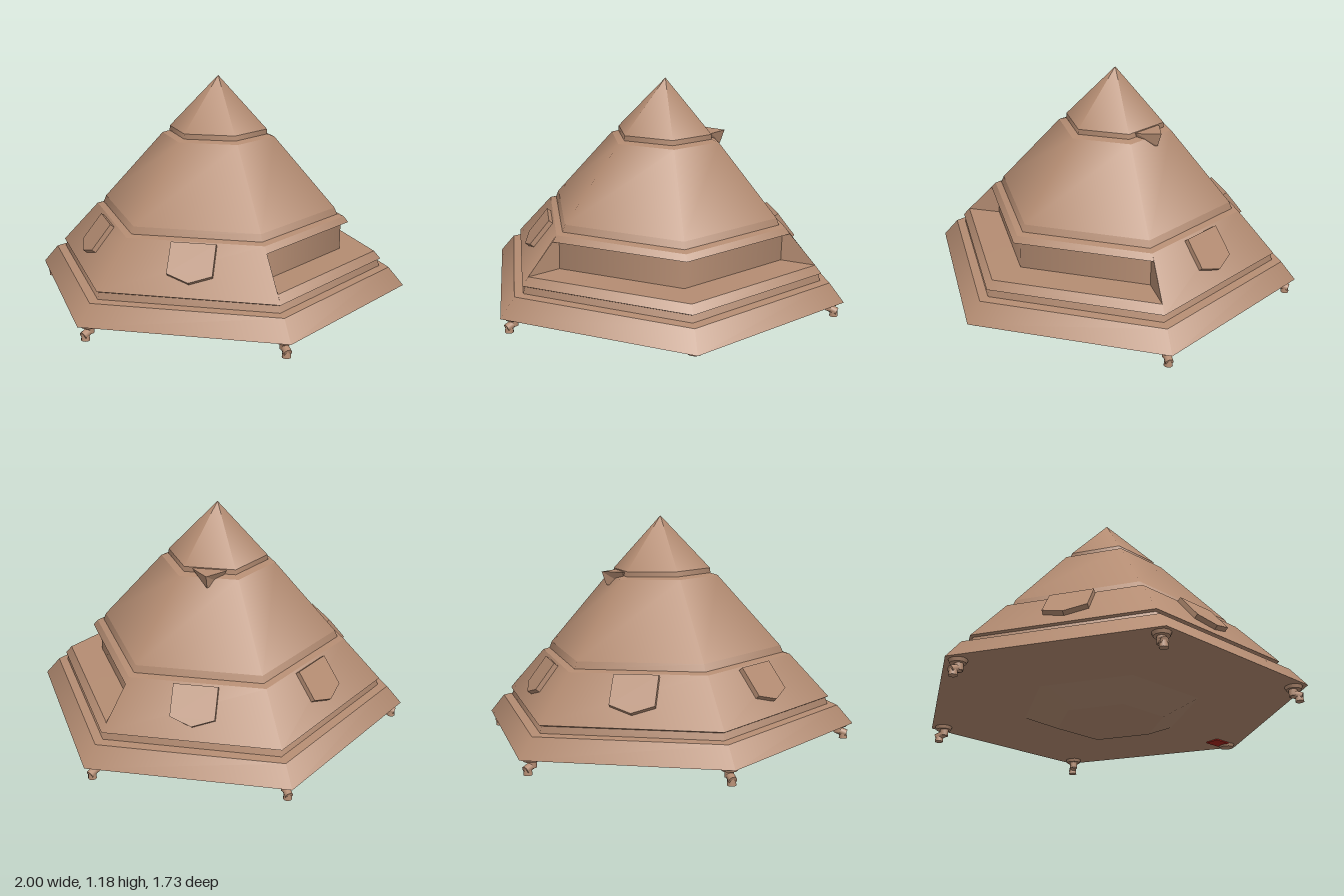
import * as THREE from 'three';

const hullMat = new THREE.MeshStandardMaterial({ color: 0xb48c72, side: THREE.DoubleSide });
hullMat.name = 'tan hull';
const redMat = new THREE.MeshStandardMaterial({ color: 0xa8241c });
redMat.name = 'red hatch';

const SIXTH = Math.PI / 3;
const SLOPE = Math.atan2(0.173, 0.22); // lean of the belt faces

function add(parent, name, geometry, x = 0, y = 0, z = 0, material = hullMat) {
  const mesh = new THREE.Mesh(geometry, material);
  mesh.name = name;
  mesh.position.set(x, y, z);
  parent.add(mesh);
  return mesh;
}

// Stacked six-sided bands from a [radius, height] profile; corners lie on the x axis
function bands(parent, name, profile, start = Math.PI / 2, sides = 6) {
  const group = new THREE.Group();
  group.name = name;
  parent.add(group);
  for (let i = 0; i + 1 < profile.length; i++) {
    const [r0, y0] = profile[i], [r1, y1] = profile[i + 1];
    const geo = new THREE.CylinderGeometry(r1, r0, y1 - y0, sides, 1, true, start, sides * SIXTH);
    add(group, name + 'Band', geo, 0, (y0 + y1) / 2, 0);
  }
}

// Five-sided raised panel, pointing down the sloped belt
function windowPanel() {
  const s = new THREE.Shape();
  s.moveTo(-0.11, 0.1);
  s.lineTo(0.11, 0.1);
  s.lineTo(0.11, -0.06);
  s.lineTo(0, -0.1);
  s.lineTo(-0.11, -0.06);
  const geo = new THREE.ExtrudeGeometry(s, { depth: 0.045, bevelEnabled: false });
  geo.translate(0, 0, -0.02);
  geo.rotateX(-SLOPE);
  geo.translate(0, 0.37, 0.655);
  return geo;
}

// Landing leg: collar, strut, outward knee and foot, built along +x
function landingLeg(parent, angle) {
  const leg = new THREE.Group();
  leg.name = 'landingLeg';
  leg.rotation.y = angle;
  parent.add(leg);
  add(leg, 'legCollar', new THREE.CylinderGeometry(0.045, 0.038, 0.018, 12), 0.93, 0.092, 0);
  add(leg, 'legStrut', new THREE.CylinderGeometry(0.022, 0.022, 0.04, 10), 0.925, 0.07, 0);
  const knee = add(leg, 'legKnee', new THREE.CylinderGeometry(0.02, 0.02, 0.055, 10), 0.942, 0.055, 0);
  knee.rotation.z = 1.2;
  add(leg, 'legFoot', new THREE.CylinderGeometry(0.018, 0.022, 0.035, 10), 0.952, 0.038, 0);
}

export function createModel() {
  const model = new THREE.Group();
  model.name = 'pyramidShip';
  const ship = new THREE.Group();
  ship.name = 'ship';
  ship.rotation.x = -0.02;
  model.add(ship);

  // Belly, flange and base of the belt
  bands(ship, 'base', [
    [0, 0.018], [0.28, 0.02], [0.46, 0.098], [1, 0.1],
    [0.92, 0.195], [0.87, 0.2], [0.86, 0.233], [0.875, 0.24],
  ]);

  // Full belt on four sides, recessed bay on the two sides around +x
  bands(ship, 'belt', [[0.875, 0.24], [0.675, 0.46]], Math.PI / 2 + SIXTH, 4);
  bands(ship, 'bay', [
    [0.875, 0.24], [0.84, 0.28], [0.66, 0.282], [0.66, 0.428], [0.7, 0.43], [0.675, 0.46],
  ], Math.PI / 2 - SIXTH, 2);
  const end = new THREE.Shape([[0.84, 0.28], [0.7, 0.43], [0.66, 0.43], [0.66, 0.28]]
    .map(([x, y]) => new THREE.Vector2(x, y)));
  for (const side of [-1, 1]) {
    add(ship, 'bayEndWall', new THREE.ShapeGeometry(end)).rotation.y = side * SIXTH;
  }

  // Upper hull and nose cone
  bands(ship, 'upperHull', [[0.675, 0.46], [0.64, 0.47], [0.625, 0.505], [0.3, 0.872]]);
  bands(ship, 'noseCone', [[0.3, 0.872], [0.262, 0.884], [0.26, 0.91], [0, 1.185]]);

  // Window panels on the front, back and two -x sides
  const panel = windowPanel();
  for (const k of [0, 3, -1, -2]) add(ship, 'windowPanel', panel).rotation.y = k * SIXTH;

  // Small pointed ledge at the back, tapering downward
  const ledge = new THREE.Shape([[-0.085, 0.18], [0.085, 0.18], [0.085, 0.235], [0, 0.325], [-0.085, 0.235]]
    .map(([x, y]) => new THREE.Vector2(x, y)));
  const ledgeGeo = new THREE.ExtrudeGeometry(ledge, { depth: 0.07, bevelEnabled: false });
  const p = ledgeGeo.attributes.position;
  for (let i = 0; i < p.count; i++) {
    if (p.getZ(i) < 0.01) p.setXY(i, p.getX(i) * 0.6, p.getY(i) * 0.93);
  }
  ledgeGeo.rotateX(-Math.PI / 2);
  ledgeGeo.computeVertexNormals();
  add(ship, 'rearLedge', ledgeGeo, 0, 0.835, 0);

  // Five landing legs; the +x one is stowed beside a red hatch
  for (let k = 1; k < 6; k++) landingLeg(ship, k * SIXTH);
  add(ship, 'stowedLeg', new THREE.CylinderGeometry(0.045, 0.038, 0.018, 12), 0.93, 0.092, 0);
  add(ship, 'redHatch', new THREE.BoxGeometry(0.1, 0.008, 0.08), 0.85, 0.097, 0, redMat);

  return model;
}
